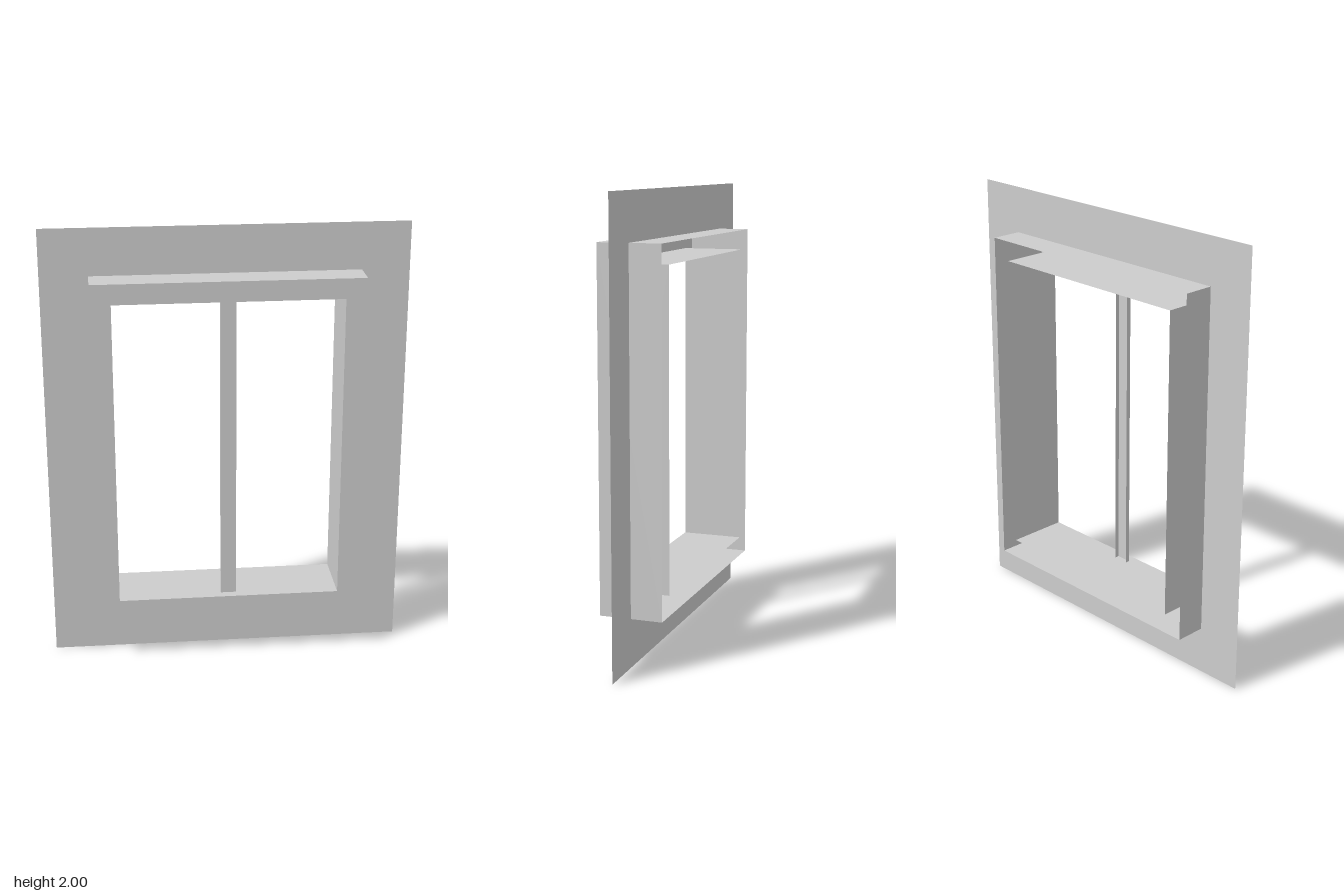
import * as THREE from 'three';

export function createModel() {
  const model = new THREE.Group();
  model.name = 'window';
  const grey = new THREE.MeshStandardMaterial({ color: 0xcccccc, side: THREE.DoubleSide });
  grey.name = 'light grey';

  const outer = { x: 0.59, y0: 0.215, y1: 1.79 };
  const inner = { x: 0.5, y0: 0.305, y1: 1.7 };
  const sheet = { x: 0.8, y0: 0, y1: 2 };
  const front = 0.14, back = -0.14;

  const add = (name, geometry, parent = model) => {
    const mesh = new THREE.Mesh(geometry, grey);
    mesh.name = name;
    parent.add(mesh);
    return mesh;
  };
  const corners = (r) => [[-r.x, r.y0], [r.x, r.y0], [r.x, r.y1], [-r.x, r.y1]]
    .map(([x, y]) => new THREE.Vector2(x, y));

  // Flat sheet with a rectangular hole, facing +z
  const ring = (big, hole, z) => {
    const shape = new THREE.Shape(corners(big));
    shape.holes.push(new THREE.Path(corners(hole).reverse()));
    return new THREE.ShapeGeometry(shape).translate(0, 0, z);
  };

  // Thin walls swept along z over an outline; dir 1 faces away from a counter-clockwise outline
  const walls = (points, closed, z0, z1, dir = 1) => {
    const pos = [];
    const count = closed ? points.length : points.length - 1;
    for (let i = 0; i < count; i++) {
      let a = points[i], b = points[(i + 1) % points.length];
      if (dir < 0) [a, b] = [b, a];
      pos.push(a.x, a.y, z0, b.x, b.y, z0, b.x, b.y, z1, a.x, a.y, z0, b.x, b.y, z1, a.x, a.y, z1);
    }
    const g = new THREE.BufferGeometry();
    g.setAttribute('position', new THREE.Float32BufferAttribute(pos, 3));
    g.computeVertexNormals();
    return g;
  };

  // Wall sheet around the window
  add('wallPanel', ring(sheet, outer, 0));

  // Hollow frame, open at the back
  const frame = new THREE.Group();
  frame.name = 'frame';
  model.add(frame);
  add('frameFace', ring(outer, inner, front), frame);
  add('frameOuterWalls', walls(corners(outer), true, back, front), frame);
  add('frameInnerWalls', walls(corners(inner), true, back, front, -1), frame);

  // Central bar: a shallow channel, open at the back
  const bar = new THREE.Group();
  bar.name = 'mullion';
  model.add(bar);
  const w = 0.035, barFront = 0.1, barBack = 0.08;
  const height = inner.y1 - inner.y0, middle = (inner.y1 + inner.y0) / 2;
  add('mullionFace', new THREE.PlaneGeometry(2 * w, height).translate(0, middle, barFront), bar);
  for (const s of [-1, 1]) {
    const side = new THREE.PlaneGeometry(barFront - barBack, height)
      .rotateY(s * Math.PI / 2)
      .translate(s * w, middle, (barFront + barBack) / 2);
    add(s > 0 ? 'mullionLeftSide' : 'mullionRightSide', side, bar);
  }
  return model;
}
